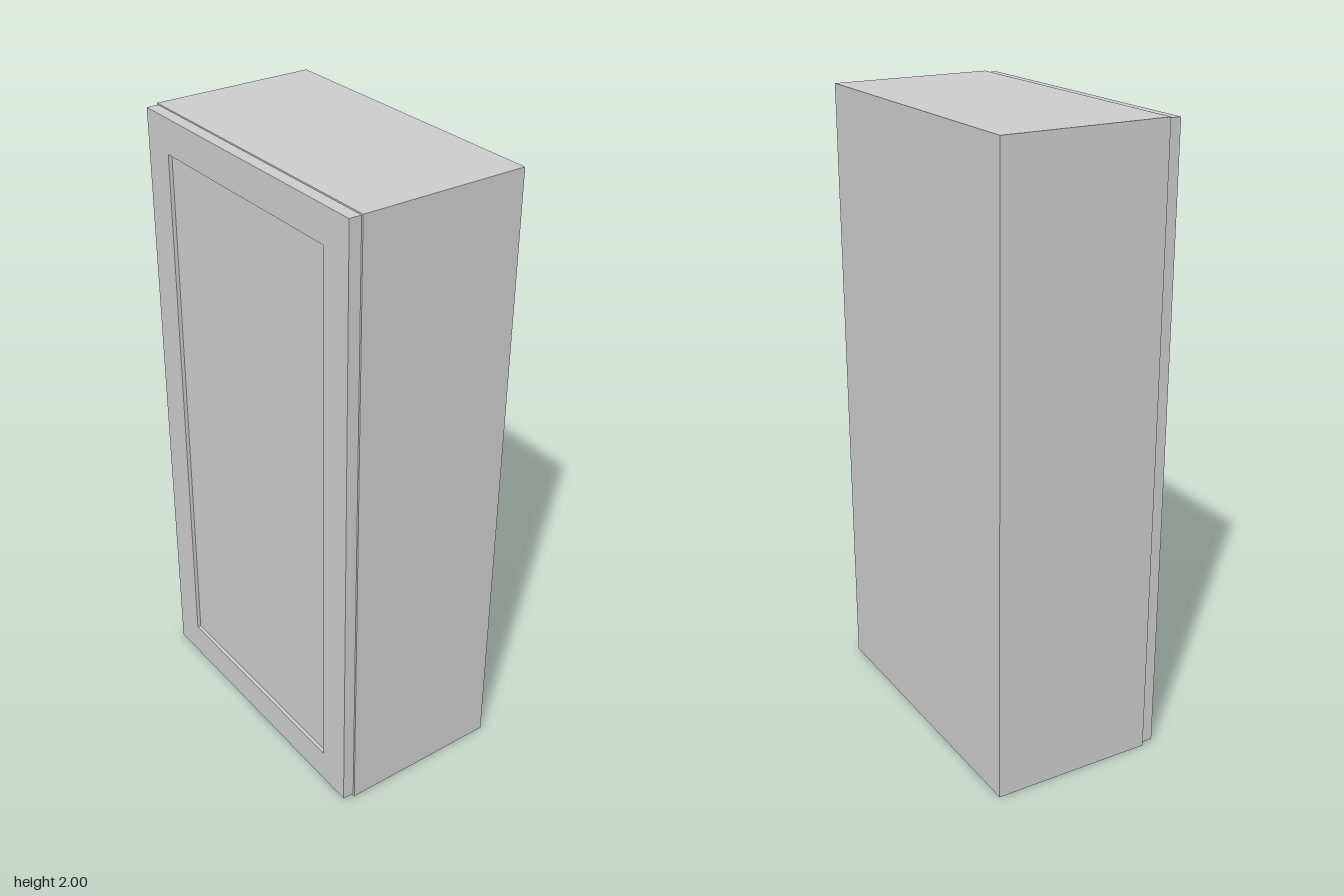
import * as THREE from 'three';

export function createModel() {
  const group = new THREE.Group();
  const material = new THREE.MeshStandardMaterial({ color: 0xcccccc });

  const H = 2, W = 1, T = 0.035;        // height, width, board thickness
  const back = -0.285, front = 0.247;   // carcass depth range
  const depth = front - back, midZ = (front + back) / 2;

  function add(name, geometry, x, y, z) {
    const mesh = new THREE.Mesh(geometry, material);
    mesh.name = name;
    mesh.position.set(x, y, z);
    group.add(mesh);
  }
  const box = (name, w, h, d, x, y, z) => add(name, new THREE.BoxGeometry(w, h, d), x, y, z);

  // Carcass: sides run full height, the other boards sit between them
  const innerW = W - 2 * T;
  box('leftSide', T, H, depth, (W - T) / 2, H / 2, midZ);
  box('rightSide', T, H, depth, -(W - T) / 2, H / 2, midZ);
  box('topBoard', innerW, T, depth, 0, H - T / 2, midZ);
  box('bottomBoard', innerW, T, depth, 0, T / 2, midZ);
  box('backBoard', innerW, H - 2 * T, T, 0, H / 2, back + T / 2);

  // Door: rectangular frame around a recessed flat panel
  const doorW = 0.988, doorH = 1.988, rail = 0.11, doorT = 0.038, recess = 0.012;
  const openW = doorW - 2 * rail, openH = doorH - 2 * rail;
  const rectangle = (path, w, h) => path
    .moveTo(-w / 2, -h / 2).lineTo(w / 2, -h / 2)
    .lineTo(w / 2, h / 2).lineTo(-w / 2, h / 2).closePath();
  const outline = new THREE.Shape();
  rectangle(outline, doorW, doorH);
  const opening = new THREE.Path();
  rectangle(opening, openW, openH);
  outline.holes.push(opening);
  add('doorFrame', new THREE.ExtrudeGeometry(outline, { depth: doorT, bevelEnabled: false }), 0, 1.002, front);
  const panelT = doorT - recess;
  box('doorPanel', openW, openH, panelT, 0, 1.002, front + panelT / 2);

  return group;
}
